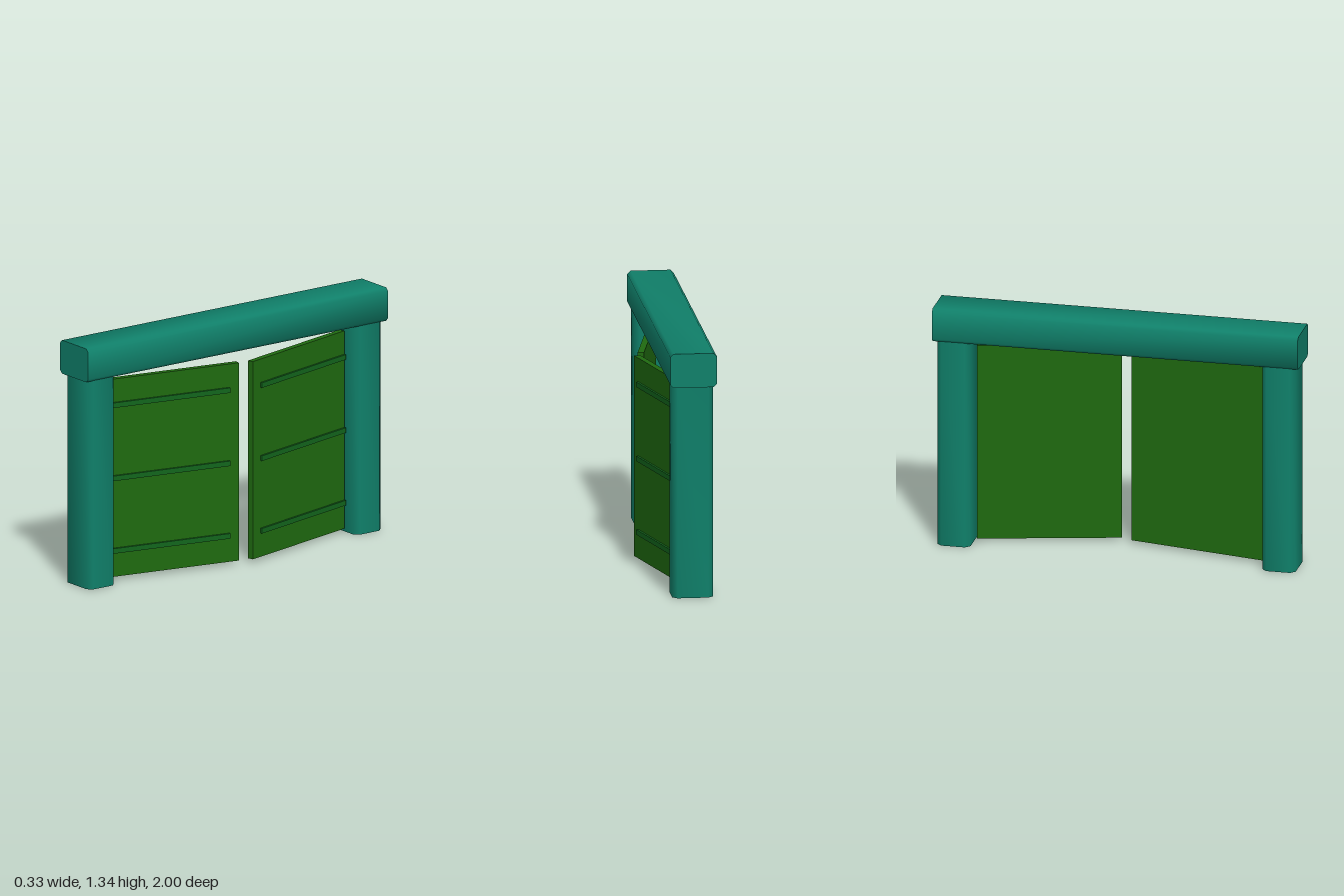
import * as THREE from 'three';
import { toCreasedNormals } from 'three/addons/utils/BufferGeometryUtils.js';

const timber = new THREE.MeshStandardMaterial({ color: 0x10806a });
const plank = new THREE.MeshStandardMaterial({ color: 0x1f6a10 });
const iron = new THREE.MeshStandardMaterial({ color: 0x12661c });

// Hewn timber along z, centred, with chamfered long edges and soft shading
function hewnTimber(w, h, length, c) {
  const x = w / 2, y = h / 2;
  const shape = new THREE.Shape([
    [-x + c, -y], [x - c, -y], [x, -y + c], [x, y - c],
    [x - c, y], [-x + c, y], [-x, y - c], [-x, -y + c],
  ].map(([a, b]) => new THREE.Vector2(a, b)));
  const geo = new THREE.ExtrudeGeometry(shape, { depth: length, bevelEnabled: false });
  geo.translate(0, 0, -length / 2);
  return toCreasedNormals(geo, 0.9);
}

function add(parent, name, geo, material, x, y, z) {
  const mesh = new THREE.Mesh(geo, material);
  mesh.name = name;
  mesh.position.set(x, y, z);
  parent.add(mesh);
  return mesh;
}

export function createModel() {
  const gate = new THREE.Group();
  gate.name = 'gate';

  // Lintel across the top
  add(gate, 'lintel', hewnTimber(0.25, 0.185, 2, 0.018), timber, -0.04, 1.247, 0);

  for (const side of [-1, 1]) {
    const label = side > 0 ? 'front' : 'back';

    // Upright post
    const postGeo = hewnTimber(0.218, 0.182, 1.16, 0.026).rotateX(-Math.PI / 2);
    add(gate, label + 'Post', postGeo, timber, -0.04, 0.58, side * 0.889);

    // Door leaf hinged at the post, swung open towards +x
    const leaf = new THREE.Group();
    leaf.name = label + 'Door';
    const swing = side > 0 ? 0.2 : 0.245;
    leaf.position.set(side > 0 ? -0.012 : -0.02, 0, side * 0.787);
    leaf.rotation.y = -side * swing;
    const length = 0.75 / Math.cos(swing);
    add(leaf, 'doorPanel', new THREE.BoxGeometry(0.034, 1.095, length), plank,
      -0.017, 0.5675, -side * length / 2);

    // Three straps across the outer face
    for (const y of [0.165, 0.567, 0.972]) {
      add(leaf, 'strap', new THREE.BoxGeometry(0.014, 0.028, 0.71), iron,
        0.005, y, -side * 0.355);
    }
    gate.add(leaf);
  }
  return gate;
}
